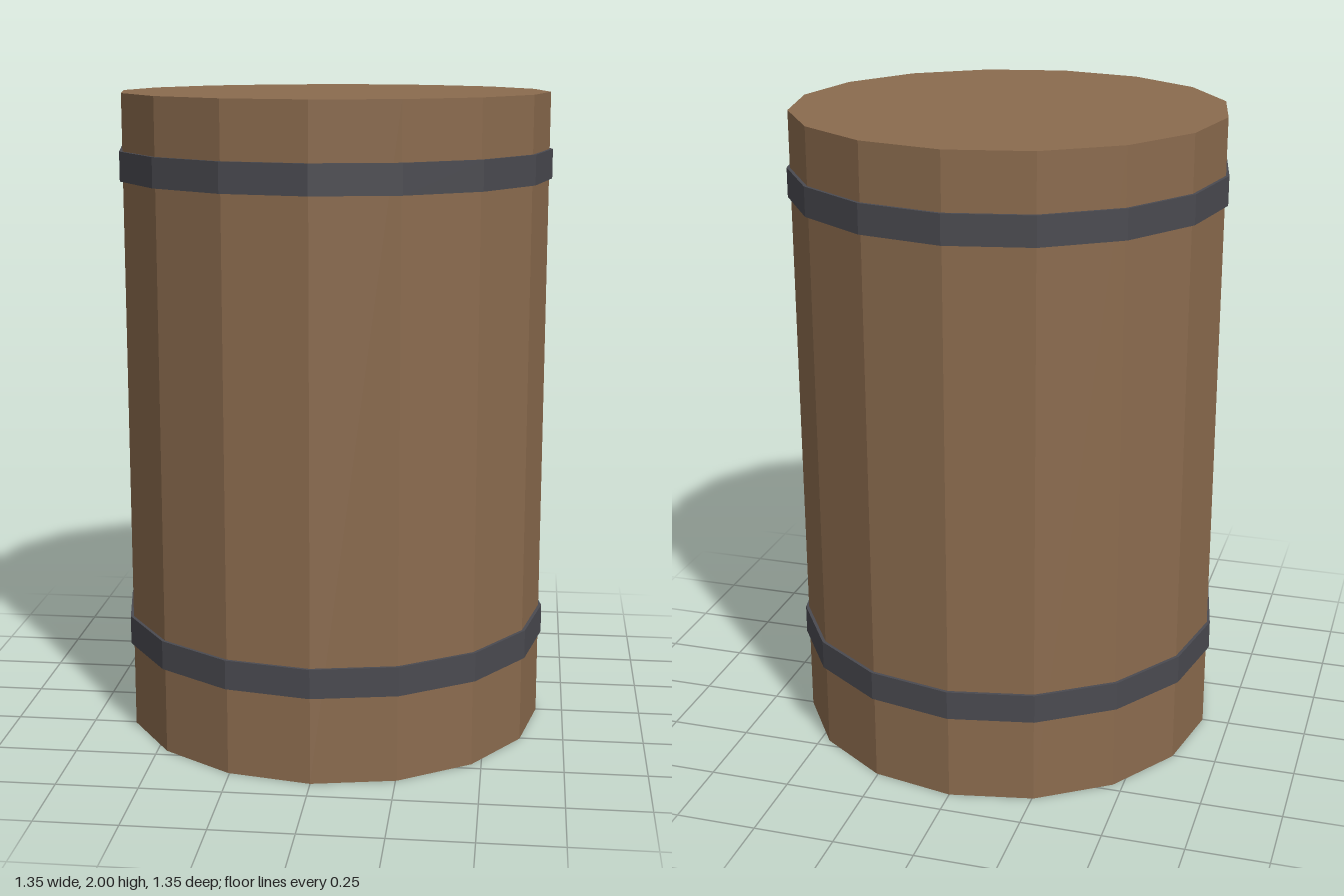
import * as THREE from 'three';

const SIDES = 16;

export function createModel() {
  const group = new THREE.Group();
  const wood = new THREE.MeshStandardMaterial({ color: 0x8b6b4e, flatShading: true });
  const iron = new THREE.MeshStandardMaterial({ color: 0x4a4a50, flatShading: true });

  // Faceted cylinder centred at height y
  function addDrum(name, radius, height, y, material) {
    const mesh = new THREE.Mesh(new THREE.CylinderGeometry(radius, radius, height, SIDES), material);
    mesh.name = name;
    mesh.position.y = y;
    group.add(mesh);
  }

  // Straight wooden body with closed ends
  addDrum('barrelBody', 0.665, 2, 1, wood);

  // Two iron hoops standing slightly proud of the wood
  addDrum('lowerHoop', 0.675, 0.09, 0.315, iron);
  addDrum('upperHoop', 0.675, 0.09, 1.782, iron);

  return group;
}
